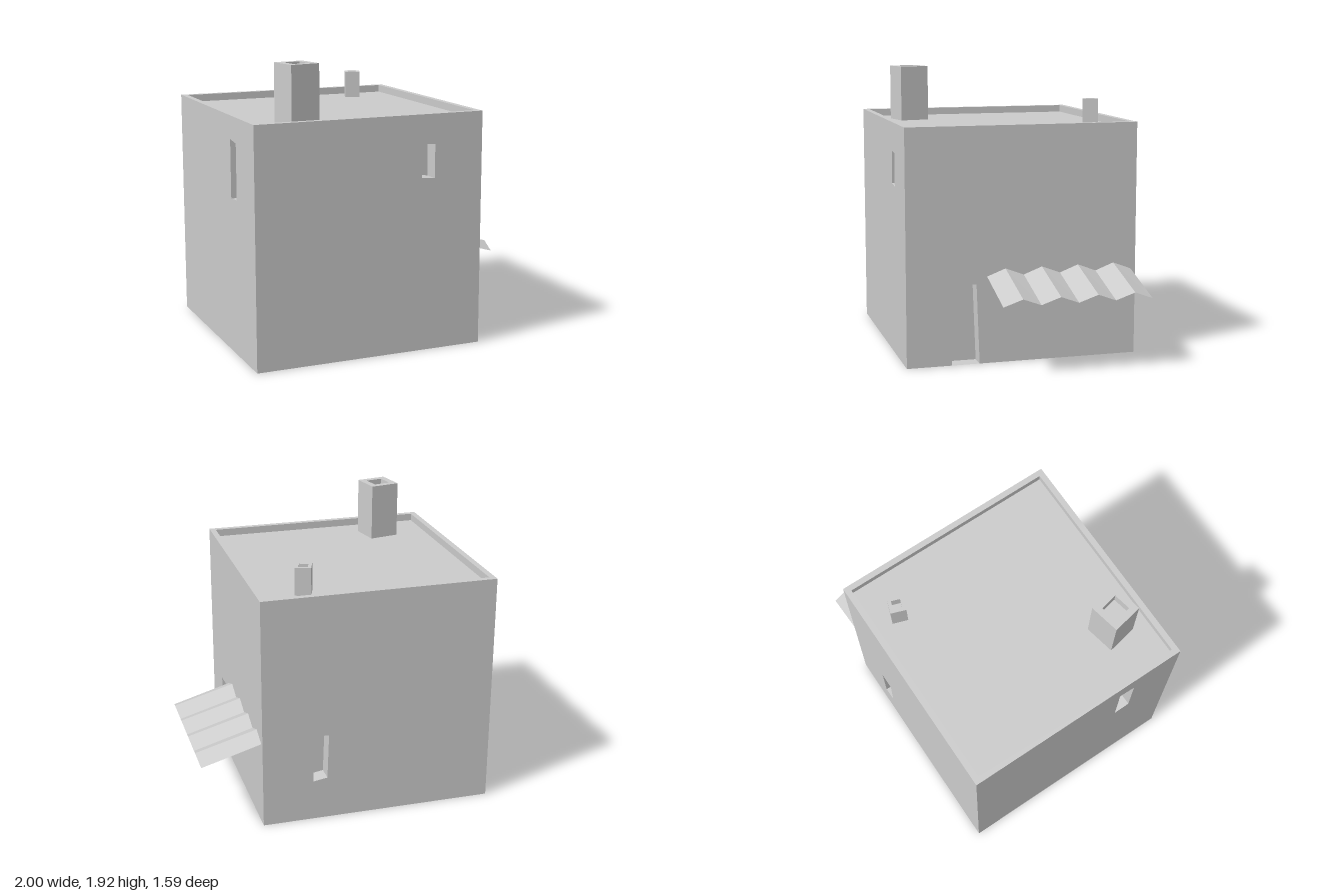
import * as THREE from 'three';

const SIZE = 1.585, HALF = SIZE / 2, ROOF = 1.535, CENTRE_X = -0.2075;
const material = new THREE.MeshStandardMaterial({ color: 0xcccccc, side: THREE.DoubleSide, flatShading: true });

function mesh(name, geometry) {
  const m = new THREE.Mesh(geometry, material);
  m.name = name;
  return m;
}

const toVectors = (points) => points.map(([x, y]) => new THREE.Vector2(x, y));

// Separate flat quads, four corners each
function quads(list) {
  const positions = [];
  for (const [a, b, c, d] of list) positions.push(...a, ...b, ...c, ...a, ...c, ...d);
  const g = new THREE.BufferGeometry();
  g.setAttribute('position', new THREE.Float32BufferAttribute(positions, 3));
  g.computeVertexNormals();
  return g;
}

// Square frame extruded upward from y = 0
function frame(outer, inner, height) {
  const square = (s) => toVectors([[-s, -s], [s, -s], [s, s], [-s, s]].map((p) => p.map((v) => v / 2)));
  const shape = new THREE.Shape(square(outer));
  shape.holes.push(new THREE.Path(square(inner)));
  return new THREE.ExtrudeGeometry(shape, { depth: height, bevelEnabled: false }).rotateX(-Math.PI / 2);
}

function flatSquare(size, y) {
  return new THREE.PlaneGeometry(size, size).rotateX(-Math.PI / 2).translate(0, y, 0);
}

// Wall with one recessed opening; corners run bottom left, bottom right, top right, top left
function wall(name, openingName, angle, opening) {
  const group = new THREE.Group();
  group.name = name;
  const [bl, br, tr, tl] = opening;
  const isDoor = bl[1] === 0;
  const notch = isDoor ? [bl, tl, tr, br] : [];
  const shape = new THREE.Shape(toVectors([[-HALF, 0], ...notch, [HALF, 0], [HALF, ROOF], [-HALF, ROOF]]));
  if (!isDoor) shape.holes.push(new THREE.Path(toVectors(opening)));
  group.add(mesh(name + 'Panel', new THREE.ShapeGeometry(shape).translate(0, 0, HALF)));

  // Recess: four reveals and a back panel
  const front = opening.map(([x, y]) => [x, y, HALF]);
  const back = opening.map(([x, y]) => [x, y, HALF - 0.11]);
  const faces = [back];
  for (let i = 0; i < 4; i++) {
    const j = (i + 1) % 4;
    faces.push([front[i], front[j], back[j], back[i]]);
  }
  group.add(mesh(openingName, quads(faces)));
  group.rotation.y = angle;
  return group;
}

// Square chimney with a sunken flue
function chimney(name, x, z, width, flue, top, angle) {
  const group = new THREE.Group();
  group.name = name;
  group.add(mesh(name + 'Stack', frame(width, flue, top - ROOF)));
  group.add(mesh(name + 'FlueFloor', flatSquare(flue, top - ROOF - 0.07)));
  group.position.set(x, ROOF, z);
  group.rotation.y = angle;
  return group;
}

// Corrugated awning: zigzag folds sloping away from the wall
function awning() {
  const faces = [], folds = 8, z0 = 0.248, step = 0.126;
  const line = (i) => {
    const ridge = i % 2, z = z0 - i * step;
    return [
      [CENTRE_X + HALF, ridge ? 0.635 : 0.587, z],
      [ridge ? 1.0 : 0.985, ridge ? 0.518 : 0.47, z],
    ];
  };
  for (let i = 0; i < folds; i++) {
    const [a, b] = line(i), [d, c] = line(i + 1);
    faces.push([a, b, c, d]);
  }
  return mesh('awning', quads(faces));
}

export function createModel() {
  const model = new THREE.Group();
  model.name = 'house';

  // Shell, open underneath
  const body = new THREE.Group();
  body.name = 'body';
  body.position.x = CENTRE_X;
  body.add(
    wall('frontWall', 'frontWindow', 0, [[0.353, 1.17], [0.448, 1.16], [0.448, 1.385], [0.368, 1.39]]),
    wall('leftWall', 'doorway', Math.PI / 2, [[-0.49, 0], [-0.3, 0], [-0.32, 0.54], [-0.483, 0.53]]),
    wall('backWall', 'backWindow', Math.PI, [[-0.448, 0.28], [-0.353, 0.295], [-0.343, 0.605], [-0.453, 0.615]]),
    wall('rightWall', 'sideWindow', -Math.PI / 2, [[0.33, 1.04], [0.443, 1.05], [0.443, 1.418], [0.33, 1.43]])
  );

  // Sunken roof with a parapet
  const inner = SIZE - 0.08;
  body.add(mesh('roof', flatSquare(inner, ROOF)));
  const parapet = mesh('parapet', frame(SIZE, inner, SIZE - ROOF));
  parapet.position.y = ROOF;
  body.add(parapet);
  model.add(body);

  model.add(
    chimney('largeChimney', -0.612, 0.518, 0.208, 0.118, 1.922, 0.195),
    chimney('smallChimney', 0.247, -0.578, 0.106, 0.06, 1.722, -0.335),
    awning()
  );
  return model;
}
